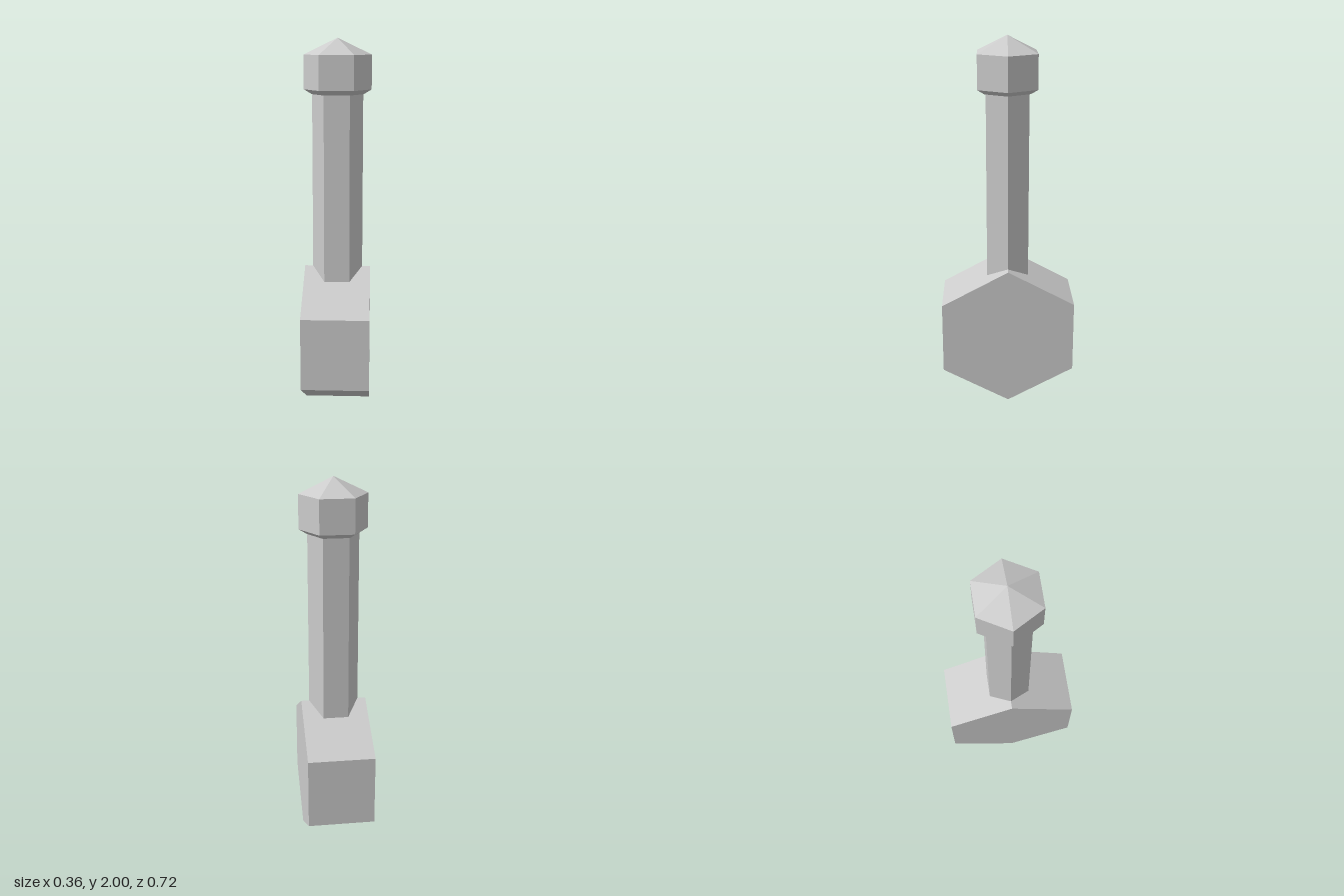
import * as THREE from 'three';

const material = new THREE.MeshStandardMaterial({ color: 0xcccccc, flatShading: true });

function addPart(group, name, geometry) {
  const mesh = new THREE.Mesh(geometry, material);
  mesh.name = name;
  group.add(mesh);
}

export function createModel() {
  const group = new THREE.Group();
  group.name = 'hammer';

  // Hexagonal prism head lying along x, with a corner pointing up
  const radius = 0.387, width = 0.358, halfDepth = 0.358;
  const head = new THREE.CylinderGeometry(radius, radius, width, 6);
  head.rotateY(Math.PI / 2);
  head.rotateZ(Math.PI / 2);
  head.scale(1, 1, halfDepth / (radius * Math.cos(Math.PI / 6)));
  head.translate(0, radius, 0);
  addPart(group, 'head', head);

  // Six-sided handle, sunk into the head's ridge
  const bottom = 0.69, top = 1.72;
  const handle = new THREE.CylinderGeometry(0.135, 0.135, top - bottom, 6);
  handle.rotateY(Math.PI / 2);
  handle.scale(1, 1, 0.96);
  handle.translate(0, (top + bottom) / 2, 0);
  addPart(group, 'handle', handle);

  // Pommel with a bevelled underside and a pointed top
  const profile = [[0, 1.71], [0.137, 1.71], [0.179, 1.735], [0.179, 1.914], [0, 2]]
    .map(([r, y]) => new THREE.Vector2(r, y));
  const pommel = new THREE.LatheGeometry(profile, 6);
  pommel.rotateY(Math.PI / 2);
  addPart(group, 'pommel', pommel);

  return group;
}
